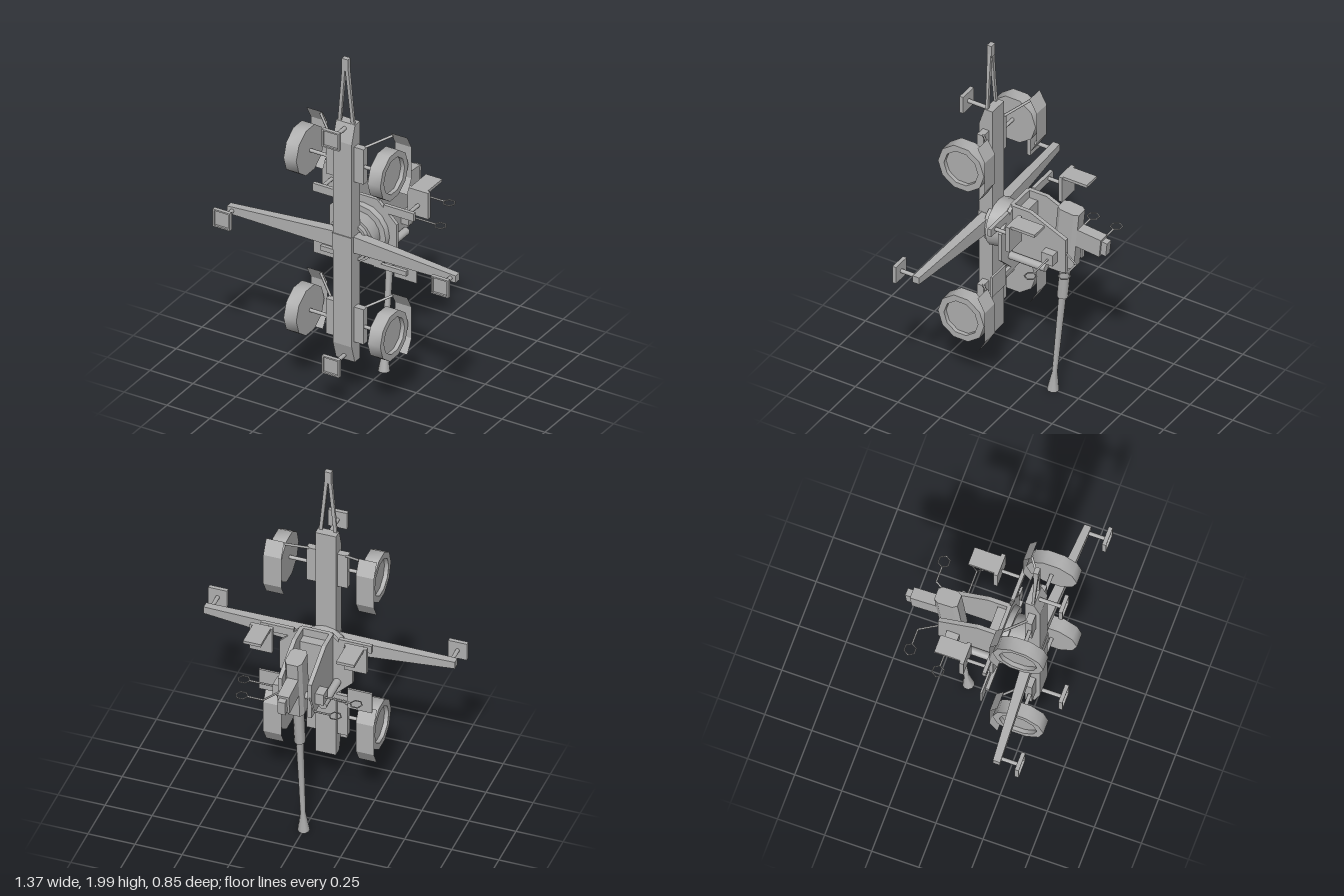
import * as THREE from 'three';
import { toCreasedNormals } from 'three/addons/utils/BufferGeometryUtils.js';

const V = (x, y, z) => new THREE.Vector3(x, y, z);

export function createModel() {
  const root = new THREE.Group();
  root.name = 'towedGun';
  const grey = new THREE.MeshStandardMaterial({ color: 0xb0b0b0, side: THREE.DoubleSide });
  grey.name = 'plain grey';

  const add = (name, geo, parent = root) => {
    const m = new THREE.Mesh(geo, grey);
    m.name = name;
    parent.add(m);
    return m;
  };
  // box given by its extents on each axis
  const box = (name, x0, x1, y0, y1, z0, z1, parent) =>
    add(name, new THREE.BoxGeometry(Math.abs(x1 - x0), y1 - y0, z1 - z0)
      .translate((x0 + x1) / 2, (y0 + y1) / 2, (z0 + z1) / 2), parent);
  // round rod between two points
  const rod = (name, a, b, r, parent, sides = 8) => {
    const m = add(name, new THREE.CylinderGeometry(r, r, a.distanceTo(b), sides), parent);
    m.position.copy(a).lerp(b, 0.5);
    m.quaternion.setFromUnitVectors(V(0, 1, 0), b.clone().sub(a).normalize());
    return m;
  };
  // outline in (z, y), extruded along x from x0 to x1
  const slab = (name, pts, x0, x1, parent) => {
    const s = new THREE.Shape(pts.map(p => new THREE.Vector2(p[0], p[1])));
    const w = Math.abs(x1 - x0);
    const g = new THREE.ExtrudeGeometry(s, { depth: w, bevelEnabled: false });
    g.translate(0, 0, -w / 2).rotateY(-Math.PI / 2).translate((x0 + x1) / 2, 0, 0);
    return add(name, g, parent);
  };
  const lathe = (pts, sides) => toCreasedNormals(
    new THREE.LatheGeometry(pts.map(p => new THREE.Vector2(p[0], p[1])), sides), 0.85);

  // chassis beam with sloped ends
  slab('chassisBeam', [[0.22, 0.26], [0.27, 0.26], [0.30, 0.36], [0.30, 1.53], [0.268, 1.63], [0.22, 1.63]], -0.055, 0.055);

  // jack: post and rimmed square foot
  const jack = (x, y, z0) => {
    const g = new THREE.Group();
    g.name = 'jack';
    root.add(g);
    rod('jackPost', V(x, y, z0), V(x, y, 0.4), 0.011, g);
    box('jackFoot', x - 0.05, x + 0.05, y - 0.05, y + 0.05, 0.395, 0.405, g);
    const s = new THREE.Shape([[-1, -1], [1, -1], [1, 1], [-1, 1]].map(p => new THREE.Vector2(p[0] * 0.05, p[1] * 0.05)));
    s.holes.push(new THREE.Path([[-1, -1], [-1, 1], [1, 1], [1, -1]].map(p => new THREE.Vector2(p[0] * 0.042, p[1] * 0.042))));
    add('jackFootRim', new THREE.ExtrudeGeometry(s, { depth: 0.011, bevelEnabled: false }).translate(x, y, 0.405), g);
  };
  jack(0, 0.29, 0.25);
  jack(0, 1.6, 0.25);

  // towing frame
  for (const s of [-1, 1]) {
    slab('towBar', [[0.252, 1.6], [0.265, 1.6], [0.27, 1.78], [0.275, 1.96], [0.253, 1.96], [0.254, 1.78]], -0.009, 0.009)
      .geometry.applyMatrix4(new THREE.Matrix4().set(1, -s * 0.094, 0, s * 0.192, 0, 1, 0, 0, 0, 0, 1, 0, 0, 0, 0, 1));
  }
  box('towEye', -0.018, 0.018, 1.93, 2.0, 0.25, 0.276);

  // wheel: flat inside, dished outside
  const wheelGeo = lathe([[0, -0.037], [0.135, -0.037], [0.135, 0.037], [0.1, 0.037], [0.1, 0.015], [0, 0.015]], 10)
    .rotateZ(-Math.PI / 2);
  // mudguard: thin sheet bent in three flats
  const fenderProfile = [[0.17, -0.105], [0.095, -0.147], [-0.085, -0.147], [-0.16, -0.105]];
  const fenderFlat = new THREE.PlaneGeometry(0.096, 1, 1, 3);
  const fp = fenderFlat.attributes.position;
  for (let i = 0; i < fp.count; i++) {
    const [y, z] = fenderProfile[Math.floor(i / 2)];
    fp.setXYZ(i, fp.getX(i), y, z);
  }
  const fenderGeo = toCreasedNormals(fenderFlat, 0.2);

  for (const y of [0.48, 1.405]) {
    const bogie = new THREE.Group();
    bogie.name = 'axleAssembly';
    bogie.position.set(0, y, 0.265);
    root.add(bogie);
    rod('axle', V(-0.22, 0, 0), V(0.22, 0, 0), 0.01, bogie);
    box('axleBracket', -0.11, 0.11, -0.098, 0.103, -0.025, 0.012, bogie);
    for (const s of [-1, 1]) {
      const w = add('wheel', wheelGeo, bogie);
      w.position.x = s * 0.245;
      if (s < 0) w.rotation.y = Math.PI;
      add('mudguard', fenderGeo, bogie).position.x = s * 0.246;
      rod('mudguardStay', V(s * 0.1, 0.1, -0.02), V(s * 0.21, 0.158, -0.105), 0.007, bogie, 6);
    }
  }

  // tapered outriggers
  for (const s of [-1, 1]) {
    const g = new THREE.BoxGeometry(1, 1, 1);
    const p = g.attributes.position;
    for (let i = 0; i < p.count; i++) {
      const t = 0.5 + s * p.getX(i);
      const h = THREE.MathUtils.lerp(0.047, 0.02, t);
      const z = p.getZ(i) < 0 ? THREE.MathUtils.lerp(0.225, 0.272, t) : THREE.MathUtils.lerp(0.283, 0.31, t);
      p.setXYZ(i, s * THREE.MathUtils.lerp(0.03, 0.667, t), 0.945 + 2 * h * p.getY(i), z);
    }
    g.computeVertexNormals();
    add('outrigger', g);
    jack(s * 0.637, 0.945, 0.29);
  }
  box('outriggerHub', -0.056, 0.056, 0.897, 0.993, 0.22, 0.305);

  // pedestal, hollow underneath, and turntable
  const ped = add('pedestal', lathe([[0.1, -0.24], [0.115, -0.24], [0.115, -0.217], [0.13, -0.217],
    [0.118, -0.13], [0.15, -0.13], [0.155, -0.1], [0, -0.1], [0.1, -0.13], [0.1, -0.24]], 16));
  ped.rotation.x = -Math.PI / 2;
  ped.position.set(0, 0.93, 0);
  const deck = add('turntableDeck', toCreasedNormals(new THREE.CylinderGeometry(0.211, 0.211, 0.02, 8), 0.3)
    .rotateY(Math.PI / 8).rotateX(Math.PI / 2));
  deck.position.set(0, 0.93, 0.09);
  box('deckBox', -0.07, 0.07, 0.85, 1.08, 0.03, 0.08);

  // carriage cheeks and crew stations, mirrored
  for (const s of [-1, 1]) {
    slab('cheekPlate', [[0.09, 0.825], [-0.23, 0.825], [-0.23, 1.03], [-0.02, 1.125], [0.09, 1.125]], s * 0.068, s * 0.09);
    rod('balanceTube', V(s * 0.112, 0.837, 0.08), V(s * 0.112, 0.837, -0.13), 0.021, root, 12);
    box('gearBox', s * 0.09, s * 0.135, 0.88, 0.945, -0.182, -0.115);
    rod('trunnion', V(s * 0.03, 0.93, -0.19), V(s * 0.075, 0.93, -0.19), 0.02, root, 10);

    // seat on its arm
    box('seatArm', s * 0.12, s * 0.295, 1.06, 1.105, 0.08, 0.1);
    rod('seatPost', V(s * 0.252, 1.085, 0.085), V(s * 0.252, 1.085, -0.02), 0.01);
    box('seatPan', s * 0.19, s * 0.31, 1.02, 1.17, -0.037, -0.015);
    box('seatBack', s * 0.2, s * 0.295, 1.154, 1.17, -0.175, -0.03);

    // footrest
    box('footArm', s * 0.06, s * 0.25, 0.73, 0.757, 0.08, 0.1);
    box('footArmLink', s * 0.06, s * 0.1, 0.73, 0.85, 0.08, 0.1);
    box('footPlate', s * 0.17, s * 0.3, 0.695, 0.815, 0.07, 0.081);

    // hexagonal ring sight and handwheel
    const ring = (name, x, y, z) => {
      const m = add(name, new THREE.TorusGeometry(0.031, 0.004, 4, 6).rotateX(Math.PI / 2));
      m.position.set(s * x, y, z);
    };
    ring('sightRing', 0.248, 0.945, -0.32);
    rod('sightArmOuter', V(s * 0.218, 0.945, -0.32), V(s * 0.135, 0.945, -0.32), 0.005, root, 6);
    rod('sightArmInner', V(s * 0.135, 0.945, -0.32), V(s * 0.078, 0.945, -0.225), 0.005, root, 6);
    ring('handwheel', 0.298, 0.912, -0.153);
    rod('handwheelShaft', V(s * 0.268, 0.912, -0.153), V(s * 0.13, 0.912, -0.153), 0.005, root, 6);
  }

  // elevating gun, barrel pointing down its local -y
  const gun = new THREE.Group();
  gun.name = 'gun';
  gun.position.set(0, 0.93, -0.187);
  gun.rotation.x = -0.094;
  root.add(gun);
  add('barrel', lathe([[0, -0.86], [0.012, -0.86], [0.022, -0.924], [0.031, -0.924], [0.014, -0.81], [0.02, -0.3]], 10), gun);
  add('barrelJacket', lathe([[0, -0.325], [0.029, -0.325], [0.029, -0.09], [0, -0.09]], 10), gun);
  const rec = new THREE.Shape([[-0.045, -0.04], [-0.03, -0.062], [0.03, -0.062], [0.045, -0.04],
    [0.045, 0.04], [0.03, 0.062], [-0.03, 0.062], [-0.045, 0.04]].map(p => new THREE.Vector2(p[0], p[1])));
  add('receiver', new THREE.ExtrudeGeometry(rec, { depth: 0.34, bevelEnabled: false })
    .rotateX(-Math.PI / 2).translate(0, -0.1, 0), gun);
  box('loader', -0.031, 0.031, 0.043, 0.148, -0.2, -0.05, gun);
  box('loaderTip', -0.02, 0.02, 0.055, 0.135, -0.231, -0.19, gun);

  return root;
}
